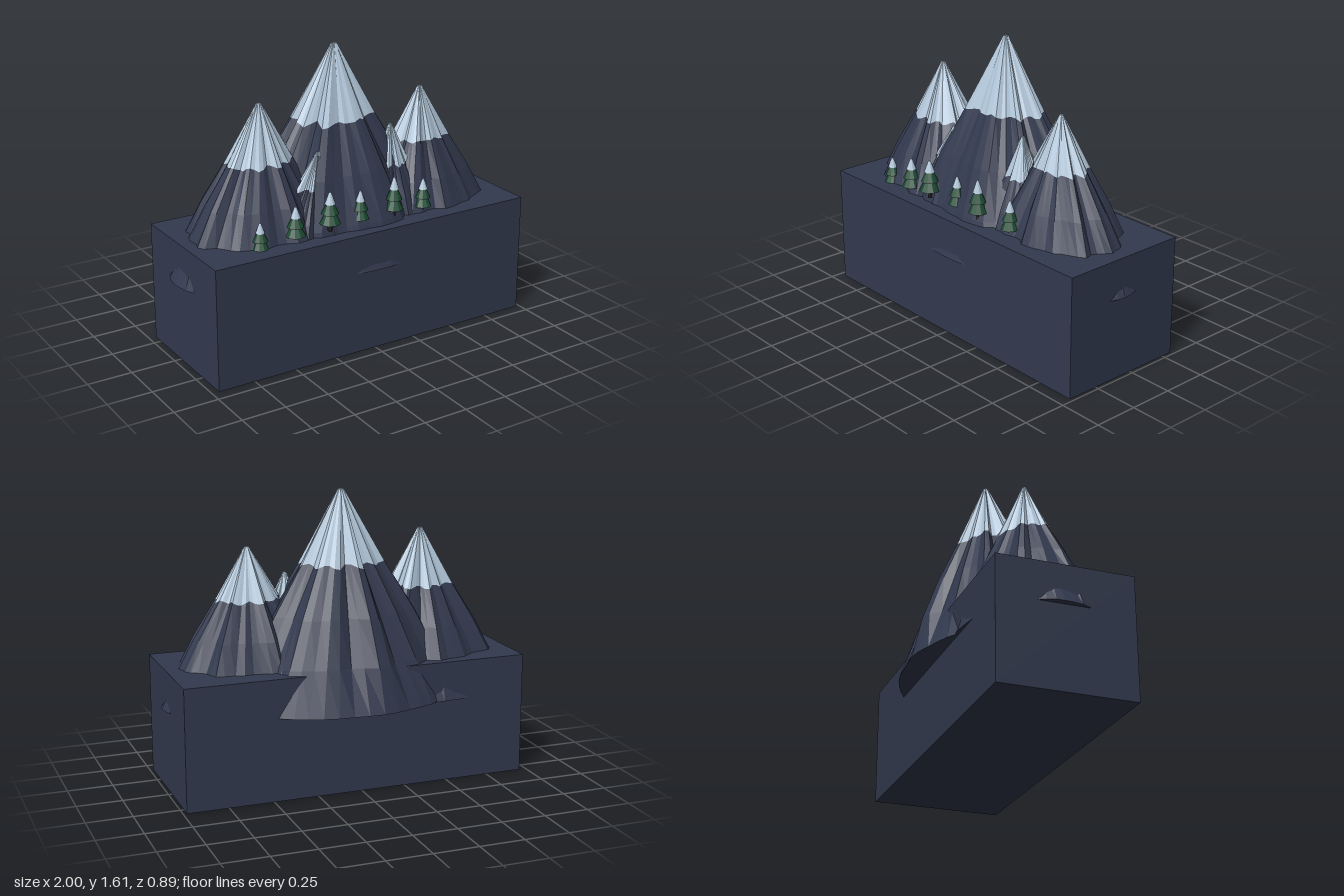
import * as THREE from 'three';

const mat = (name, color) => Object.assign(new THREE.MeshStandardMaterial({ color }), { name });

// small seeded generator
function seeded(seed) {
  let s = seed;
  return () => ((s = (s * 16807) % 2147483647) / 2147483647);
}

// faceted mesh from rings of points, listed top to bottom
function skin(name, rings, material, closeTop, closeBottom) {
  const pos = [];
  const tri = (...pts) => pts.forEach(p => pos.push(p.x, p.y, p.z));
  const n = rings[0].length;
  const middle = ring => ring.reduce((a, p) => a.add(p), new THREE.Vector3()).divideScalar(n);
  for (let k = 0; k < rings.length - 1; k++) {
    const a = rings[k], b = rings[k + 1];
    for (let i = 0; i < n; i++) {
      const j = (i + 1) % n;
      tri(a[i], b[i], b[j]);
      tri(a[i], b[j], a[j]);
    }
  }
  const top = rings[0], base = rings[rings.length - 1];
  for (let i = 0; i < n; i++) {
    const j = (i + 1) % n;
    if (closeTop) tri(middle(top), top[i], top[j]);
    if (closeBottom) tri(middle(base), base[j], base[i]);
  }
  const g = new THREE.BufferGeometry();
  g.setAttribute('position', new THREE.Float32BufferAttribute(pos, 3));
  g.computeVertexNormals();
  const mesh = new THREE.Mesh(g, material);
  mesh.name = name;
  return mesh;
}

export function createModel() {
  const rock = mat('slateRock', 0x333a4f);
  const snow = mat('snow', 0xb4c9dc);
  const needles = mat('pineGreen', 0x1f4d36);
  const bark = mat('bark', 0x2b2528);
  const root = new THREE.Group();
  root.name = 'mountainDiorama';

  // block the range stands on
  const block = new THREE.Mesh(new THREE.BoxGeometry(1.94, 0.675, 0.745), rock);
  block.name = 'baseBlock';
  block.position.set(0.01, 0.3375, 0.06);
  root.add(block);

  // ridged mountain: oval cross-sections, snow above a wavy line
  const BASE = 0.46, SIDES = 48;
  function mountain(name, { x, z, peak, line, rx, rz, rough, seed }) {
    const rnd = seeded(seed);
    const ph = [rnd(), rnd(), rnd()].map(v => v * Math.PI * 2);
    const jag = Array.from({ length: SIDES }, () => rnd() - 0.5);
    const ts = (peak - line) / (peak - BASE);
    const radius = t => (t < ts
      ? THREE.MathUtils.lerp(0.025, ts * 1.02, t / ts)
      : THREE.MathUtils.lerp(ts * 1.02, 1, (t - ts) / (1 - ts)) + 0.03 * Math.sin(Math.PI * (t - ts) / (1 - ts)));
    const ring = (t, amp, wave = 0) => jag.map((jit, i) => {
      const a = i / SIDES * Math.PI * 2;
      const ridge = 0.5 * Math.sin(8 * a + ph[0]) + 0.35 * Math.sin(13 * a + ph[1]) + 0.6 * jit;
      const tt = Math.min(1, Math.max(0, t + wave * (Math.sin(11 * a + ph[2]) + jit)));
      const r = radius(tt) * (1 + amp * rough * ridge);
      return new THREE.Vector3(x + Math.sin(a) * r * rx, peak - tt * (peak - BASE), z + Math.cos(a) * r * rz);
    });
    const edge = ring(ts, 0.17, 0.009);
    const g = new THREE.Group();
    g.name = name;
    g.add(skin('snowCap', [ring(0, 0.2), ring(ts * 0.5, 0.17), edge], snow, true, false));
    g.add(skin('rockSlope', [edge, ring(ts + (1 - ts) * 0.35, 0.13), ring(ts + (1 - ts) * 0.68, 0.09), ring(1, 0.015)],
      rock, false, true));
    root.add(g);
  }
  mountain('mainPeak', { x: 0.005, z: 0, peak: 1.61, line: 1.21, rx: 0.65, rz: 0.445, rough: 1, seed: 11 });
  mountain('rightPeak', { x: -0.48, z: 0.04, peak: 1.365, line: 1.05, rx: 0.52, rz: 0.37, rough: 1, seed: 29 });
  mountain('leftPeak', { x: 0.515, z: 0.075, peak: 1.315, line: 1.03, rx: 0.485, rz: 0.34, rough: 1, seed: 47 });
  mountain('rightFoothill', { x: -0.21, z: 0.185, peak: 1.09, line: 0.9, rx: 0.38, rz: 0.22, rough: 1.8, seed: 63 });
  mountain('leftFoothill', { x: 0.285, z: 0.13, peak: 1.15, line: 0.93, rx: 0.32, rz: 0.25, rough: 1.2, seed: 85 });

  // pines: trunk, two skirts and a snowy tip
  const facet = g => {
    const f = g.toNonIndexed();
    f.computeVertexNormals();
    return f;
  };
  const TIERS = [
    ['trunk', bark, 0.22, 0.22, 0, 0.3, 6],
    ['lowerBranches', needles, 0.4, 1, 0.2, 0.5, 10],
    ['upperBranches', needles, 0.3, 0.85, 0.45, 0.75, 10],
    ['snowTip', snow, 0.1, 0.52, 0.7, 1, 10],
  ];
  const trees = [
    [-0.63, 0.30, 0.635, 0.815, 0.048], [-0.43, 0.32, 0.67, 0.87, 0.054],
    [-0.235, 0.345, 0.705, 0.92, 0.057], [-0.03, 0.32, 0.685, 0.88, 0.049],
    [0.17, 0.345, 0.70, 0.925, 0.052], [0.385, 0.31, 0.67, 0.865, 0.049],
  ];
  for (const [x, z, y0, y1, r] of trees) {
    const tree = new THREE.Group();
    tree.name = 'pineTree';
    const h = y1 - y0;
    for (const [name, material, top, bottom, from, to, sides] of TIERS) {
      const m = new THREE.Mesh(facet(new THREE.CylinderGeometry(r * top, r * bottom, h * (to - from), sides)), material);
      m.name = name;
      m.position.y = h * (from + to) / 2;
      tree.add(m);
    }
    tree.position.set(x, y0, z);
    root.add(tree);
  }
  return root;
}
